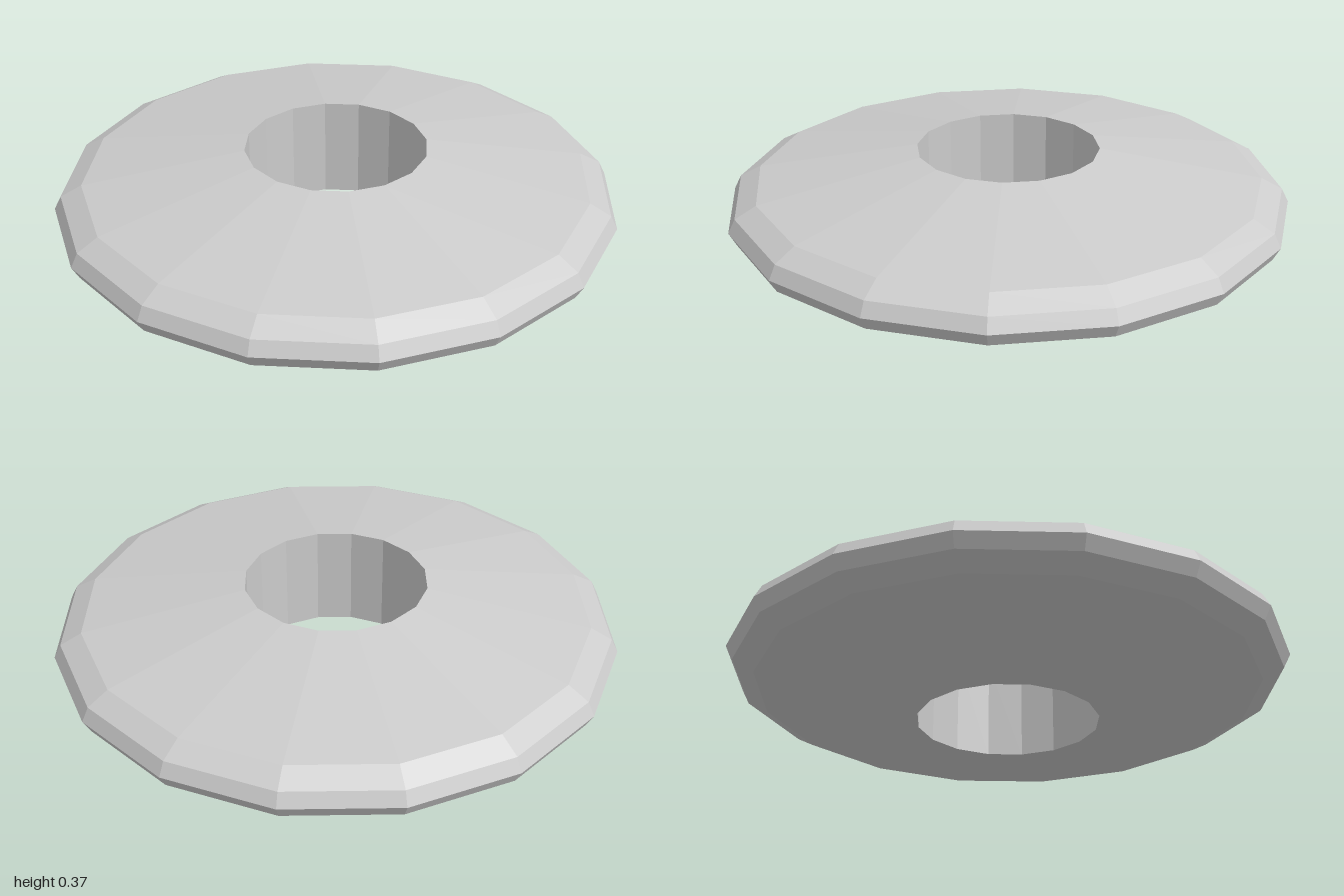
import * as THREE from 'three';

export function createModel() {
  const group = new THREE.Group();
  group.name = 'ringDisc';

  const middle = 0.187, hole = 0.325;
  // Upper half of the rim section: radius, height above the middle
  const upper = [[0.975, 0.048], [0.9, 0.088], [hole, middle]];

  // Closed section: hole bottom, out to the rim, up over the top, down the hole wall
  const section = [
    ...upper.map(([r, h]) => [r, -h]).reverse(),
    [1, 0],
    ...upper,
    [hole, -middle],
  ].map(([r, h]) => new THREE.Vector2(r, middle + h));

  // Sixteen-sided bevelled disc with a through hole
  const disc = new THREE.Mesh(
    new THREE.LatheGeometry(section, 16),
    new THREE.MeshStandardMaterial({ color: 0xcccccc, flatShading: true })
  );
  disc.name = 'disc';
  group.add(disc);
  return group;
}
